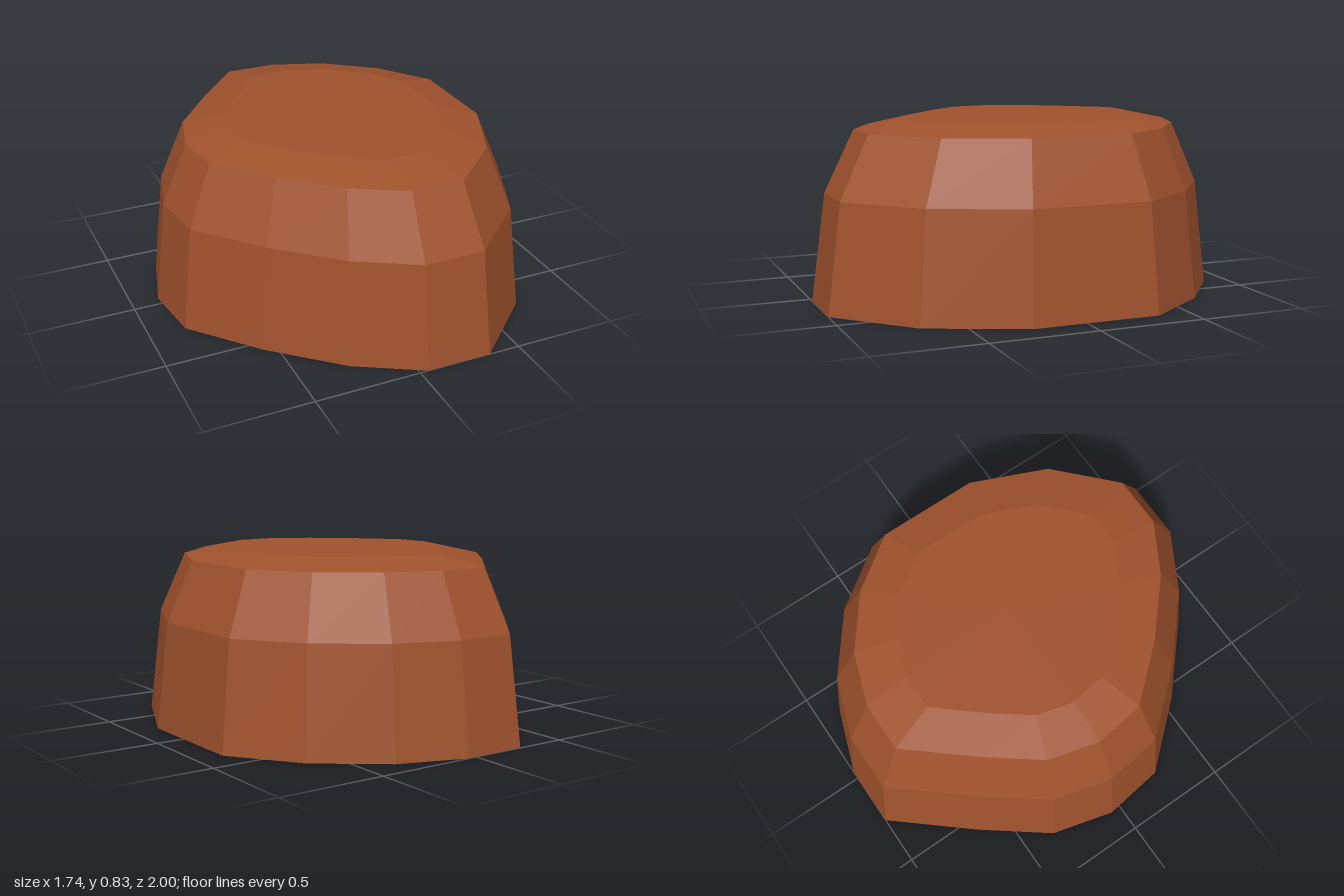
import * as THREE from 'three';

// Base outline as [x, z], running clockwise seen from above
const OUTLINE = [
  [-0.26, -1], [0.04, -1], [0.35, -0.89], [0.65, -0.66], [0.87, -0.35],
  [0.87, 0.25], [0.68, 0.69], [0.35, 1], [0.04, 1], [-0.26, 0.83],
  [-0.56, 0.56], [-0.83, 0.25], [-0.87, -0.05], [-0.79, -0.35], [-0.56, -0.65],
];
// Each ring shrinks the outline towards this centre: [height, scale]
const CENTRE = { x: 0.04, z: -0.05 };
const RINGS = [[0, 1], [0.5, 0.935], [0.785, 0.8], [0.83, 0.575]];

function loftedStone() {
  const n = OUTLINE.length;
  const positions = [];
  const index = [];
  for (const [y, s] of RINGS) {
    for (const [x, z] of OUTLINE) {
      positions.push(CENTRE.x + (x - CENTRE.x) * s, y, CENTRE.z + (z - CENTRE.z) * s);
    }
  }
  const top = (RINGS.length - 1) * n;
  const bottomCentre = RINGS.length * n;
  const topCentre = bottomCentre + 1;
  positions.push(CENTRE.x, 0, CENTRE.z, CENTRE.x, RINGS[RINGS.length - 1][0], CENTRE.z);

  for (let i = 0; i < n; i++) {
    const j = (i + 1) % n;
    // Sloping sides between neighbouring rings
    for (let r = 0; r < RINGS.length - 1; r++) {
      const a = r * n + i, b = r * n + j;
      index.push(a, a + n, b, b, a + n, b + n);
    }
    // Flat bottom and top
    index.push(bottomCentre, i, j);
    index.push(topCentre, top + j, top + i);
  }

  const indexed = new THREE.BufferGeometry();
  indexed.setAttribute('position', new THREE.Float32BufferAttribute(positions, 3));
  indexed.setIndex(index);
  const geometry = indexed.toNonIndexed();
  geometry.computeVertexNormals();
  return geometry;
}

export function createModel() {
  const group = new THREE.Group();
  group.name = 'stone';
  const material = new THREE.MeshStandardMaterial({ color: 0xa0522d, flatShading: true });
  const body = new THREE.Mesh(loftedStone(), material);
  body.name = 'stoneBody';
  group.add(body);
  return group;
}
